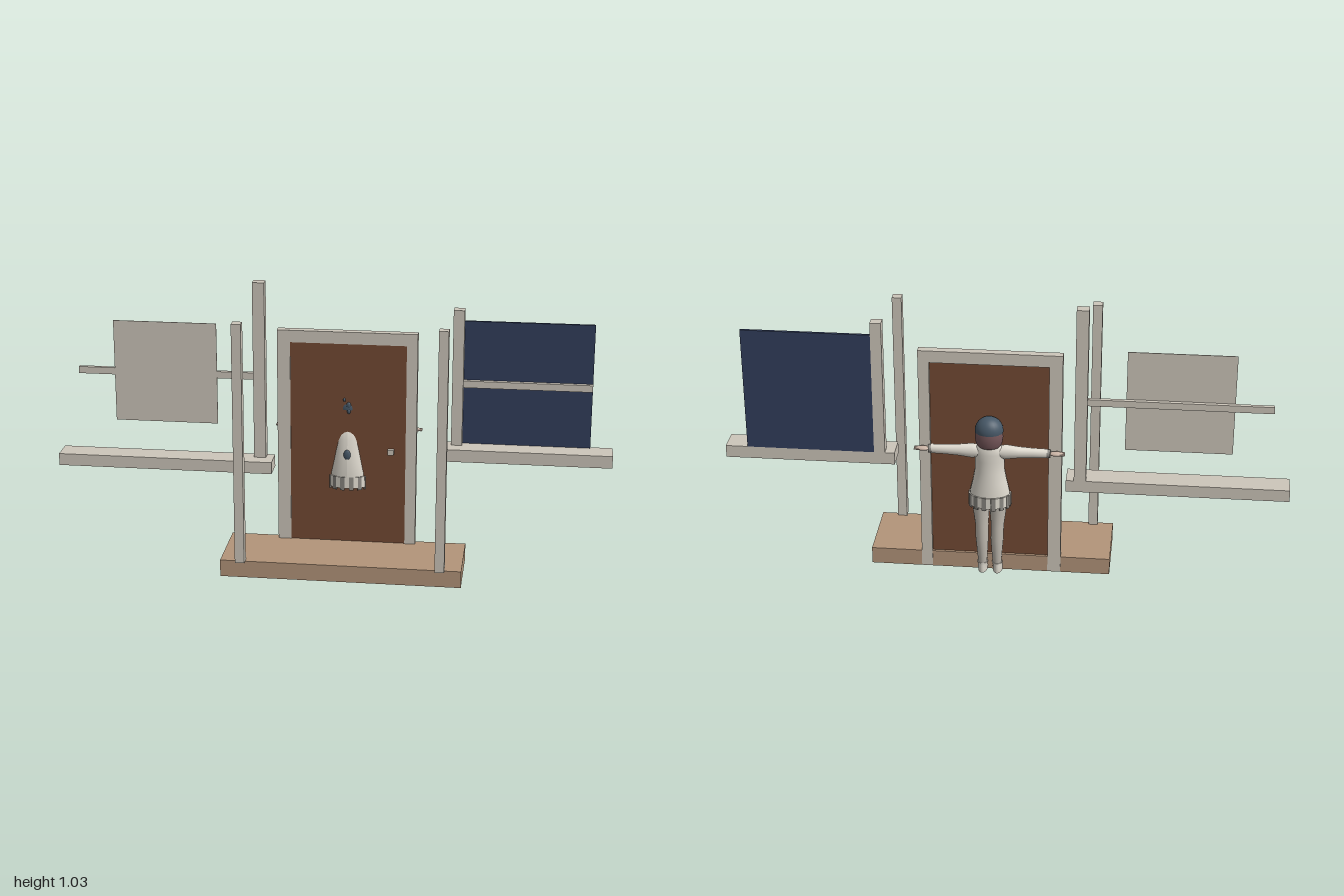
import * as THREE from 'three';

const mat = (name, color, side = THREE.FrontSide) => {
  const m = new THREE.MeshStandardMaterial({ color, side });
  m.name = name;
  return m;
};

export function createModel() {
  const M = {
    trim: mat('pale trim', 0xcdc6ba),
    step: mat('tan step', 0xb3957a),
    door: mat('brown door', 0x734a34),
    navy: mat('navy panel', 0x323e5c),
    coat: mat('cream cloth', 0xe0dbd0),
    legs: mat('grey stockings', 0xbfb9af),
    hem: mat('grey pleats', 0x8d8a84),
    cap: mat('slate blue', 0x475867),
    hair: mat('reddish hair', 0x76575a),
    skin: mat('skin', 0xc9b3a4),
  };
  const model = new THREE.Group();
  model.name = 'doorwayWithFigure';

  const add = (parent, name, geo, material, x = 0, y = 0, z = 0) => {
    const mesh = new THREE.Mesh(geo, material);
    mesh.name = name;
    mesh.position.set(x, y, z);
    parent.add(mesh);
    return mesh;
  };
  // Box given by its limits on each axis
  const box = (name, material, x0, x1, y0, y1, z0, z1) =>
    add(model, name, new THREE.BoxGeometry(x1 - x0, y1 - y0, z1 - z0), material,
      (x0 + x1) / 2, (y0 + y1) / 2, (z0 + z1) / 2);
  // Elliptical sections from bottom to top: [y, centre x, centre z, radius x, radius z]
  const loft = (sections, segments = 28) => {
    const n = sections.length - 1;
    const g = new THREE.CylinderGeometry(1, 1, 1, segments, n);
    const p = g.attributes.position;
    for (let i = 0; i < p.count; i++) {
      const [y, cx, cz, rx, rz] = sections[Math.round((p.getY(i) + 0.5) * n)];
      p.setXYZ(i, cx + p.getX(i) * rx, y, cz + p.getZ(i) * rz);
    }
    g.computeVertexNormals();
    return g;
  };
  const ball = (rx, ry, rz) => new THREE.SphereGeometry(1, 20, 14).scale(rx, ry, rz);

  // Step and front posts
  box('step', M.step, -0.377, 0.486, 0, 0.062, -0.11, 0.152);
  box('frontPostRight', M.trim, -0.32, -0.286, 0.062, 0.945, 0.136, 0.171);
  box('frontPostLeft', M.trim, 0.393, 0.427, 0.062, 0.945, 0.136, 0.171);

  // Door and its frame
  box('door', M.door, -0.155, 0.267, 0.062, 0.816, -0.1, -0.086);
  box('doorJambRight', M.trim, -0.2, -0.153, 0.002, 0.858, -0.112, -0.082);
  box('doorJambLeft', M.trim, 0.264, 0.303, 0.002, 0.858, -0.112, -0.082);
  box('doorHead', M.trim, -0.153, 0.264, 0.814, 0.858, -0.112, -0.082);
  box('doorHandle', M.trim, 0.2, 0.222, 0.407, 0.426, -0.087, -0.07);

  // Right wing: sill, tall post, rail and thin pale panel
  box('sillRight', M.trim, -1, -0.215, 0.333, 0.377, -0.111, -0.022);
  box('wallPostRight', M.trim, -0.286, -0.243, 0.377, 1.03, -0.111, -0.073);
  box('railRight', M.trim, -0.928, -0.286, 0.668, 0.693, -0.101, -0.086);
  box('panelRight', M.trim, -0.794, -0.419, 0.497, 0.872, -0.086, -0.083);

  // Left wing: sill, post, rail and navy panel
  box('sillLeft', M.trim, 0.393, 1, 0.41, 0.455, -0.111, -0.022);
  box('wallPostLeft', M.trim, 0.427, 0.466, 0.455, 0.953, -0.111, -0.073);
  box('panelLeft', M.navy, 0.466, 0.921, 0.455, 0.908, -0.111, -0.101);
  box('railLeft', M.trim, 0.466, 0.921, 0.668, 0.693, -0.101, -0.085);

  // Figure standing behind the door with arms spread
  const figure = new THREE.Group();
  figure.name = 'figure';
  figure.position.x = 0.054;
  model.add(figure);

  add(figure, 'coat', loft([
    [0.29, 0, -0.113, 0.073, 0.049],
    [0.33, 0, -0.112, 0.069, 0.049],
    [0.37, 0, -0.112, 0.06, 0.047],
    [0.41, 0, -0.113, 0.053, 0.044],
    [0.455, 0, -0.117, 0.052, 0.039],
    [0.485, 0, -0.122, 0.056, 0.036],
    [0.51, 0, -0.128, 0.048, 0.027],
    [0.53, 0, -0.128, 0.02, 0.018],
  ]), M.coat);

  // Pleats around the hem, in alternating colours and lengths
  const pleats = 28;
  for (let i = 0; i < pleats; i++) {
    const a = (i / pleats) * Math.PI * 2;
    const h = i % 2 ? 0.05 : 0.042;
    const pleat = add(figure, 'pleat', new THREE.BoxGeometry(0.016, h, 0.005),
      i % 2 ? M.hem : M.coat, Math.sin(a) * 0.073, 0.318 - h / 2, -0.113 + Math.cos(a) * 0.05);
    pleat.rotation.y = Math.atan2(Math.sin(a) / 0.073, Math.cos(a) / 0.05);
  }
  add(figure, 'neckerchief', ball(0.013, 0.019, 0.006), M.cap, 0, 0.402, -0.069);

  // Arms, hands, legs and shoes
  for (const s of [-1, 1]) {
    const arm = new THREE.Group();
    arm.name = s > 0 ? 'armLeft' : 'armRight';
    arm.position.set(s * 0.035, 0.49, -0.128);
    arm.rotation.z = -s * Math.PI / 2;
    figure.add(arm);
    add(arm, 'sleeve', loft([
      [0, 0, 0, 0.022, 0.02],
      [0.025, 0, 0, 0.027, 0.021],
      [0.07, 0, 0, 0.021, 0.018],
      [0.12, 0, 0, 0.018, 0.015],
      [0.17, 0, 0, 0.017, 0.014],
    ], 18), M.coat);
    add(arm, 'cuff', new THREE.CylinderGeometry(0.015, 0.015, 0.012, 16), M.hem, 0, 0.174, 0);
    add(arm, 'hand', ball(0.008, 0.027, 0.013), M.skin, 0, 0.2, 0);
    for (let f = 0; f < 4; f++) {
      add(arm, 'finger', new THREE.CapsuleGeometry(0.0032, 0.022, 3, 8), M.skin,
        0, 0.217, (f - 1.5) * 0.0062);
    }
    const thumb = add(arm, 'thumb', new THREE.CapsuleGeometry(0.0035, 0.016, 3, 8), M.skin, 0, 0.2, 0.014);
    thumb.rotation.x = 0.6;

    add(figure, s > 0 ? 'legLeft' : 'legRight', loft([
      [0.03, s * 0.026, -0.125, 0.015, 0.016],
      [0.07, s * 0.026, -0.128, 0.018, 0.019],
      [0.14, s * 0.027, -0.13, 0.023, 0.024],
      [0.19, s * 0.028, -0.125, 0.023, 0.023],
      [0.25, s * 0.03, -0.122, 0.029, 0.029],
      [0.31, s * 0.031, -0.12, 0.031, 0.032],
    ], 18), M.legs);
    add(figure, s > 0 ? 'shoeLeft' : 'shoeRight', loft([
      [0, s * 0.027, -0.108, 0.017, 0.036],
      [0.014, s * 0.027, -0.109, 0.018, 0.037],
      [0.028, s * 0.027, -0.119, 0.017, 0.025],
      [0.04, s * 0.026, -0.124, 0.019, 0.02],
    ], 18), M.coat);
  }

  // Head: face, bobbed hair and rounded cap
  add(figure, 'neck', new THREE.CylinderGeometry(0.014, 0.016, 0.04, 14), M.skin, 0, 0.53, -0.128);
  add(figure, 'face', ball(0.038, 0.045, 0.036), M.skin, 0, 0.562, -0.123);
  add(figure, 'hair', loft([
    [0.512, 0, -0.134, 0.036, 0.028],
    [0.525, 0, -0.133, 0.046, 0.035],
    [0.55, 0, -0.131, 0.05, 0.04],
    [0.578, 0, -0.128, 0.048, 0.041],
    [0.6, 0, -0.126, 0.037, 0.033],
  ]), M.hair);
  const capGeo = new THREE.SphereGeometry(1, 24, 12, 0, Math.PI * 2, 0, Math.PI * 0.54);
  add(figure, 'cap', capGeo.scale(0.05, 0.049, 0.044), M.cap, 0, 0.573, -0.127);
  // Small trimmings that show through the door
  for (const [x, y, r] of [[-0.012, 0.605, 0.005], [0.003, 0.585, 0.009], [0.004, 0.562, 0.007]]) {
    add(figure, 'capTrimming', ball(r, r * 1.4, 0.006), M.cap, x, y, -0.088);
  }
  return model;
}
